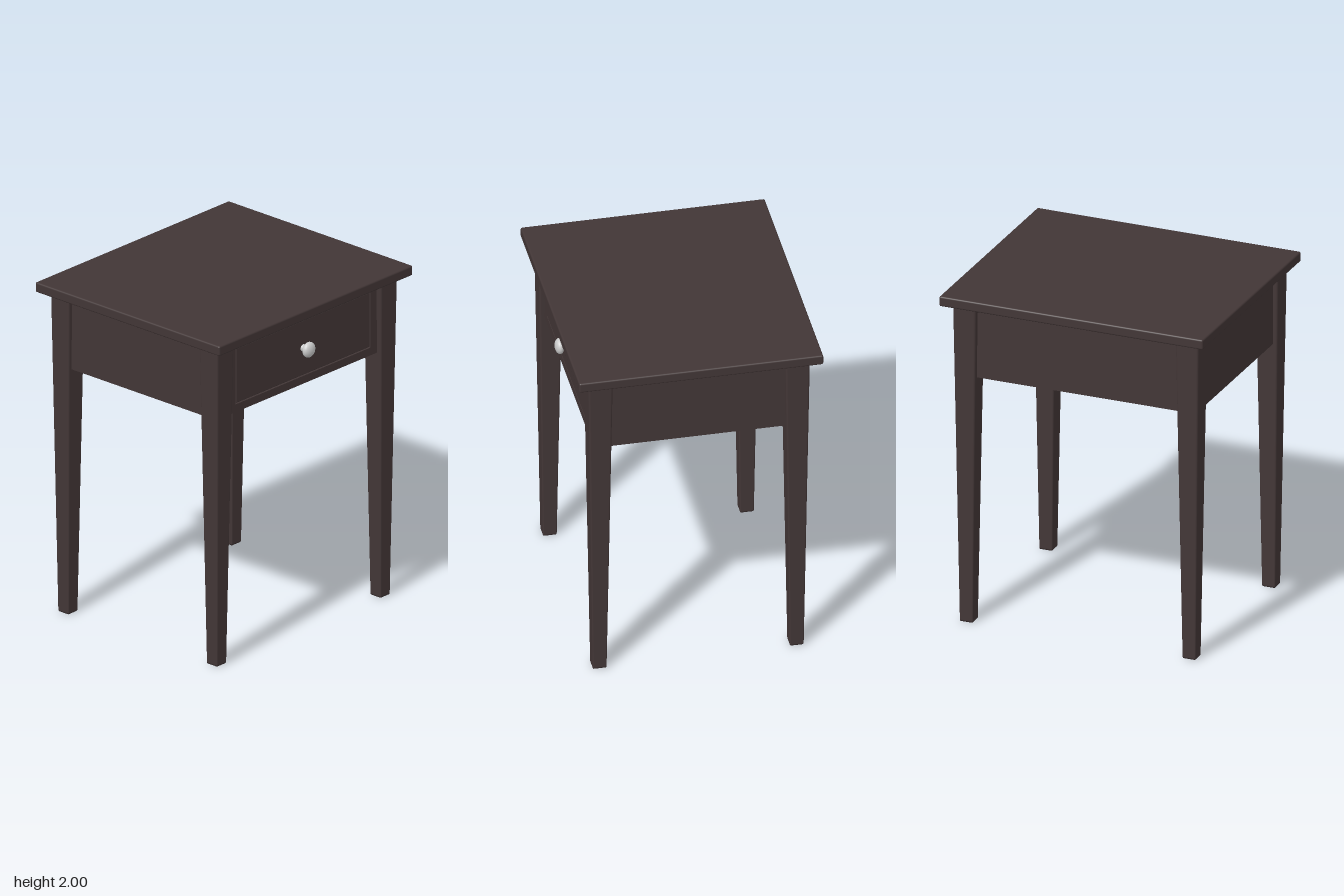
import * as THREE from 'three';
import { RoundedBoxGeometry } from 'three/addons/geometries/RoundedBoxGeometry.js';

export function createModel() {
  const wood = new THREE.MeshStandardMaterial({ color: 0x423636 });
  wood.name = 'darkWood';
  const metal = new THREE.MeshStandardMaterial({ color: 0xcccccc });
  metal.name = 'paleMetal';

  const model = new THREE.Group();
  model.name = 'sideTable';

  function add(name, geometry, material, x, y, z) {
    const mesh = new THREE.Mesh(geometry, material);
    mesh.name = name;
    mesh.position.set(x, y, z);
    model.add(mesh);
    return mesh;
  }

  // Table top with softened edges
  add('tableTop', new RoundedBoxGeometry(1.61, 0.06, 1.4, 3, 0.01), wood, 0, 1.97, 0);

  // Square legs, 0.14 wide at the top and 0.08 at the floor
  const legHeight = 1.945;
  const legGeometry = new RoundedBoxGeometry(0.14, legHeight, 0.14, 3, 0.012);
  const p = legGeometry.attributes.position;
  for (let i = 0; i < p.count; i++) {
    const k = THREE.MathUtils.lerp(0.57, 1, p.getY(i) / legHeight + 0.5);
    p.setX(i, p.getX(i) * k);
    p.setZ(i, p.getZ(i) * k);
  }
  for (const sx of [-1, 1]) {
    for (const sz of [-1, 1]) {
      const name = (sz > 0 ? 'front' : 'back') + (sx > 0 ? 'Left' : 'Right') + 'Leg';
      add(name, legGeometry, wood, sx * 0.68, legHeight / 2, sz * 0.565);
    }
  }

  // Side and back aprons, set back from the leg faces
  const sideApron = new THREE.BoxGeometry(0.04, 0.44, 1.1);
  add('leftApron', sideApron, wood, 0.7, 1.72, 0);
  add('rightApron', sideApron, wood, -0.7, 1.72, 0);
  add('backApron', new THREE.BoxGeometry(1.36, 0.44, 0.04), wood, 0, 1.72, -0.58);

  // Front frame with the drawer opening
  const rect = (shape, x, y0, y1) => shape
    .moveTo(-x, y0).lineTo(x, y0).lineTo(x, y1).lineTo(-x, y1).closePath();
  const frame = rect(new THREE.Shape(), 0.68, 1.5, 1.94);
  frame.holes.push(rect(new THREE.Path(), 0.562, 1.547, 1.892));
  const frameGeometry = new THREE.ExtrudeGeometry(frame, { depth: 0.04, bevelEnabled: false });
  add('frontFrame', frameGeometry, wood, 0, 0, 0.56);

  // Drawer front sits in the opening with a narrow gap
  add('drawerFront', new RoundedBoxGeometry(1.112, 0.333, 0.05, 2, 0.006), wood, 0, 1.7195, 0.576);

  // Panel closing the case underneath, inside a shallow rim
  add('bottomPanel', new THREE.BoxGeometry(1.37, 0.02, 1.13), wood, 0, 1.53, 0);

  // Flattened round knob on a short stem
  const knob = add('knob', new THREE.SphereGeometry(0.046, 16, 12), metal, 0, 1.72, 0.645);
  knob.scale.z = 0.6;
  const stem = add('knobStem', new THREE.CylinderGeometry(0.018, 0.022, 0.05, 16), metal, 0, 1.72, 0.615);
  stem.rotation.x = Math.PI / 2;

  return model;
}
